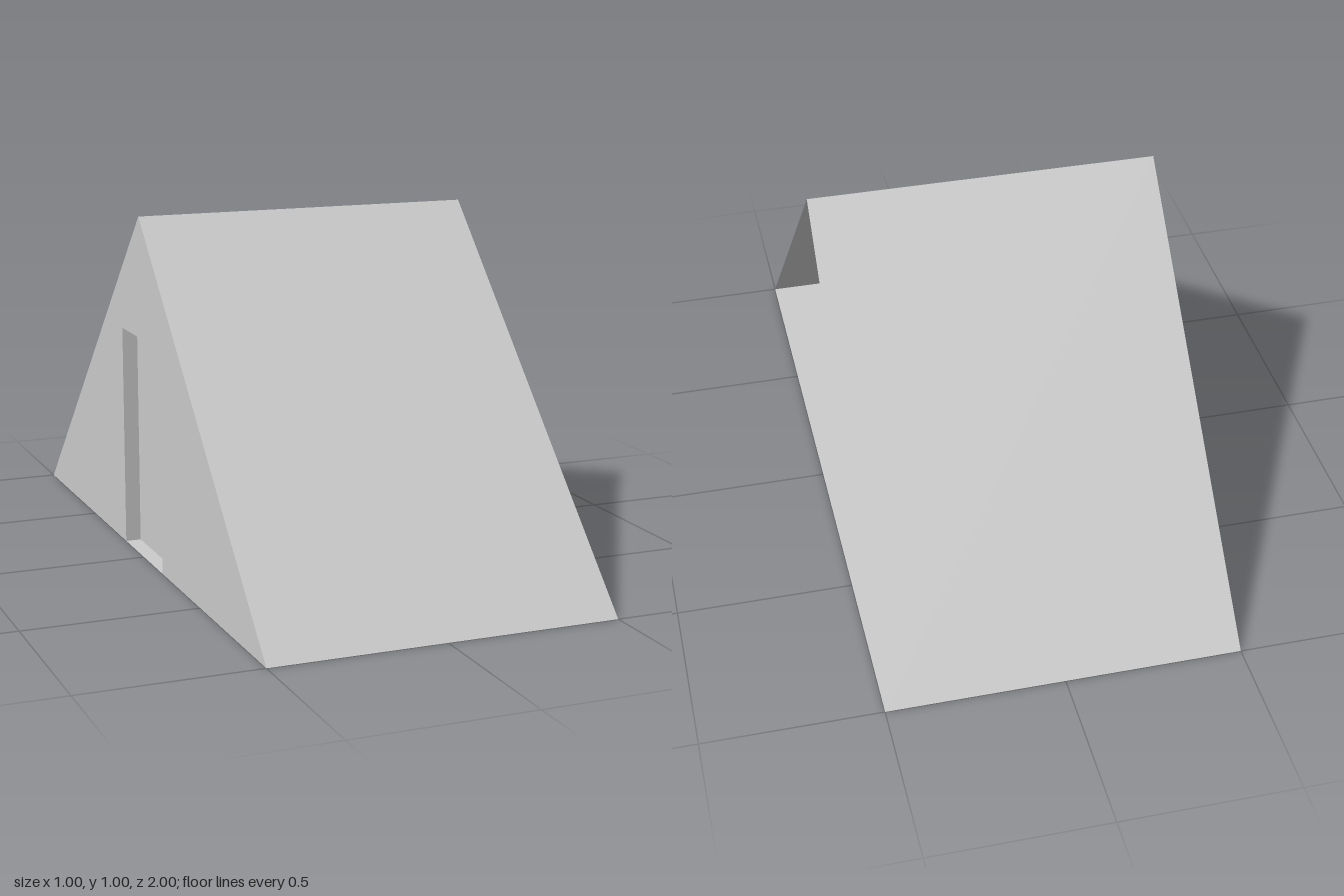
import * as THREE from 'three';

// Thin A-frame tent hut: open at +x, walled with a recessed door at -x
export function createModel() {
  const group = new THREE.Group();
  const grey = new THREE.MeshStandardMaterial({ color: 0xcccccc, side: THREE.DoubleSide });
  grey.name = 'lightGrey';

  const add = (name, geometry) => {
    const mesh = new THREE.Mesh(geometry, grey);
    mesh.name = name;
    group.add(mesh);
    return mesh;
  };

  // Flat four-cornered panel, corners counter-clockwise seen from its front
  const panel = (name, ...corners) => {
    const g = new THREE.BufferGeometry();
    g.setAttribute('position', new THREE.Float32BufferAttribute(corners.flat(), 3));
    g.setIndex([0, 1, 2, 0, 2, 3]);
    g.computeVertexNormals();
    return add(name, g);
  };

  const X = 0.5;             // half length of the ridge
  const W = 0.175, H = 0.65; // door half width and height
  const D = -X + 0.045;      // recessed door plane

  // Roof slopes and floor
  panel('frontRoof', [-X, 0, 1], [X, 0, 1], [X, 1, 0], [-X, 1, 0]);
  panel('backRoof', [X, 0, -1], [-X, 0, -1], [-X, 1, 0], [X, 1, 0]);
  panel('floor', [-X, 0, -1], [X, 0, -1], [X, 0, 1], [-X, 0, 1]);

  // Gable wall with the doorway notched out
  const outline = [[-1, 0], [-W, 0], [-W, H], [W, H], [W, 0], [1, 0], [0, 1]];
  const wall = new THREE.ShapeGeometry(new THREE.Shape(outline.map(p => new THREE.Vector2(...p))));
  wall.rotateY(-Math.PI / 2).translate(-X, 0, 0);
  add('gableWall', wall);

  // Doorway reveal and door
  panel('frontJamb', [-X, 0, W], [-X, H, W], [D, H, W], [D, 0, W]);
  panel('backJamb', [-X, 0, -W], [D, 0, -W], [D, H, -W], [-X, H, -W]);
  panel('lintel', [-X, H, -W], [D, H, -W], [D, H, W], [-X, H, W]);
  panel('door', [D, 0, -W], [D, 0, W], [D, H, W], [D, H, -W]);

  // Faceted knob passing through the door
  const knob = new THREE.SphereGeometry(0.024, 6, 3).toNonIndexed();
  knob.computeVertexNormals();
  add('doorKnob', knob).position.set(D, 0.33, 0.11);

  return group;
}
